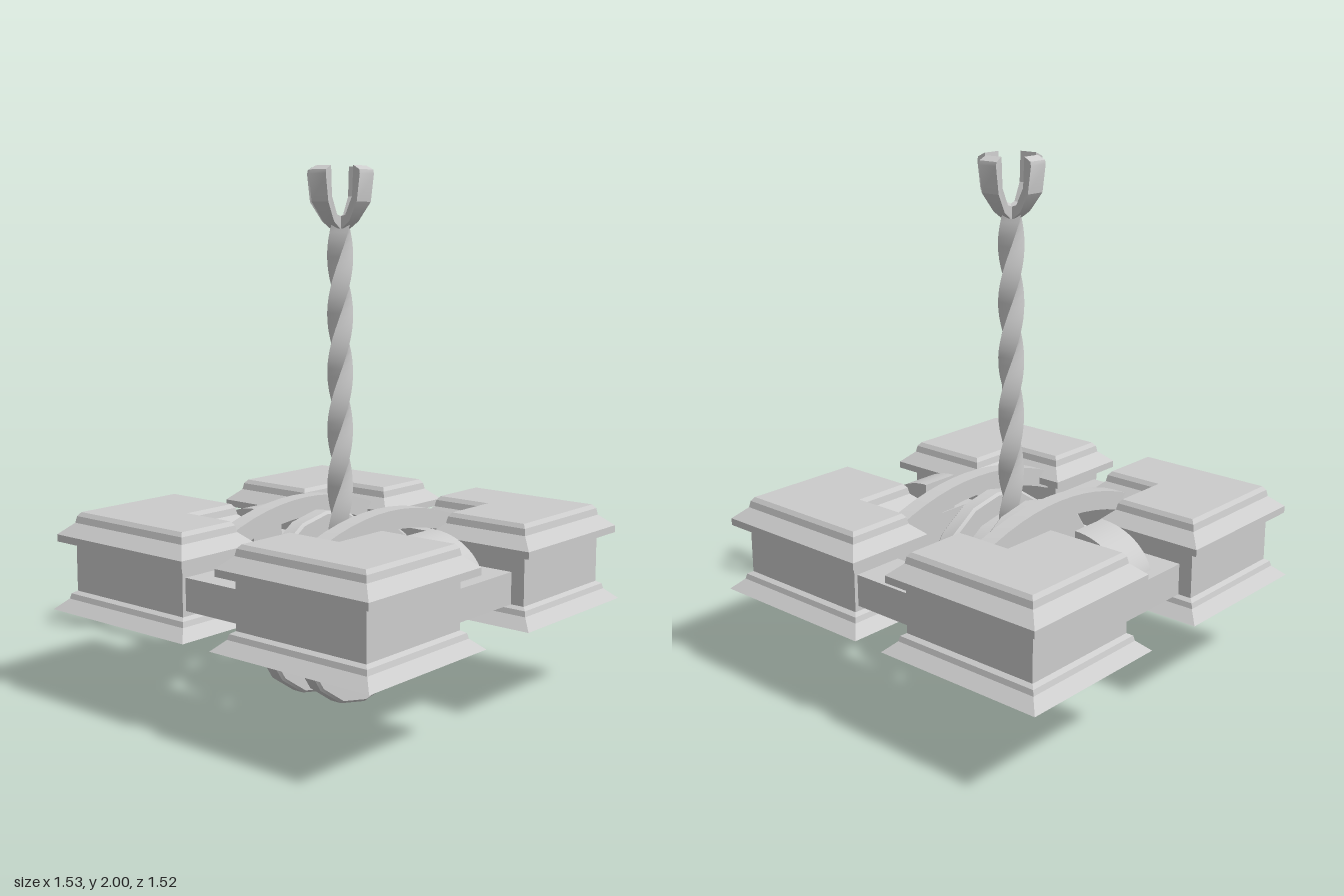
import * as THREE from 'three';
import { toCreasedNormals } from 'three/addons/utils/BufferGeometryUtils.js';

const material = new THREE.MeshStandardMaterial({ color: 0xcccccc });

function add(parent, name, geometry, x = 0, y = 0, z = 0) {
  const mesh = new THREE.Mesh(geometry, material);
  mesh.name = name;
  mesh.position.set(x, y, z);
  parent.add(mesh);
  return mesh;
}

// L-shaped block with moulded foot and cornice: one outline, inset by height
function blockGeometry(sx, sz) {
  // x, z, inset direction in x, inset direction in z
  const corners = [
    [0.29, 0.13, 1, 1], [0.765, 0.13, -1, 1], [0.765, 0.76, -1, -1],
    [0.065, 0.76, 1, -1], [0.065, 0.36, 1, 1], [0.29, 0.36, 1, 1],
  ];
  // height, inset
  const profile = [
    [0.36, 0], [0.4, 0.043], [0.42, 0.048], [0.43, 0.065], [0.62, 0.065],
    [0.62, 0.015], [0.647, 0.015], [0.69, 0.063], [0.715, 0.068], [0.73, 0.08],
  ];
  const rings = profile.map(([y, d]) =>
    corners.map(([x, z, dx, dz]) => [sx * (x + dx * d), y, sz * (z + dz * d)]));
  const positions = [];
  const tri = (a, b, c) => positions.push(...(sx * sz > 0 ? [a, b, c] : [a, c, b]).flat());
  for (let k = 0; k < rings.length - 1; k++) {
    for (let i = 0; i < corners.length; i++) {
      const j = (i + 1) % corners.length;
      const a = rings[k][i], b = rings[k][j], c = rings[k + 1][j], d = rings[k + 1][i];
      tri(a, d, c);
      tri(a, c, b);
    }
  }
  const outline = corners.map(([x, z]) => new THREE.Vector2(x, z));
  const top = rings[rings.length - 1];
  for (const [a, b, c] of THREE.ShapeUtils.triangulateShape(outline, [])) {
    tri(rings[0][a], rings[0][b], rings[0][c]);
    tri(top[a], top[c], top[b]);
  }
  const g = new THREE.BufferGeometry();
  g.setAttribute('position', new THREE.Float32BufferAttribute(positions, 3));
  g.computeVertexNormals();
  return g;
}

// Curved strap running front to back
function strapGeometry() {
  const R = 1.1, half = 0.43, n = 12, outer = [], inner = [];
  for (let i = 0; i <= n; i++) {
    const z = -half + (2 * half * i) / n;
    const y = 0.75 - R + Math.sqrt(R * R - z * z);
    outer.push(new THREE.Vector2(z, y));
    inner.unshift(new THREE.Vector2(z, y - 0.075));
  }
  const g = new THREE.ExtrudeGeometry(new THREE.Shape([...outer, ...inner]),
    { depth: 0.065, bevelEnabled: false });
  g.translate(0, 0, -0.0325).rotateY(-Math.PI / 2);
  return toCreasedNormals(g, 0.5);
}

// Quarter-round bearing cap, falling away towards +x
function capGeometry() {
  const s = new THREE.Shape();
  s.moveTo(0, 0);
  s.lineTo(0.23, 0);
  s.lineTo(0.23, 0.05);
  s.absellipse(0, 0.05, 0.23, 0.18, 0, Math.PI / 2, false);
  s.lineTo(0, 0);
  const g = new THREE.ExtrudeGeometry(s, { depth: 0.16, bevelEnabled: false, curveSegments: 8 });
  g.translate(0, 0, -0.08);
  return toCreasedNormals(g, 0.5);
}

// Square bar twisted about its length
function twistedShaftGeometry(bottom, top) {
  const height = top - bottom;
  const g = new THREE.BoxGeometry(0.068, height, 0.068, 1, 40, 1);
  g.translate(0, height / 2, 0);
  const p = g.attributes.position;
  const v = new THREE.Vector3(), up = new THREE.Vector3(0, 1, 0);
  for (let i = 0; i < p.count; i++) {
    v.fromBufferAttribute(p, i);
    v.applyAxisAngle(up, (v.y / 0.215) * Math.PI / 2);
    p.setXYZ(i, v.x, v.y, v.z);
  }
  return toCreasedNormals(g, 0.7);
}

// Claw prong, broad at the outer tip and narrow at the root
function prongGeometry() {
  const points = [
    [0, 1.77], [0.03, 1.775], [0.065, 1.8], [0.112, 1.87], [0.126, 1.97],
    [0.123, 1.985], [0.093, 2], [0.085, 1.89], [0.045, 1.825], [0, 1.81],
  ].map(([x, y]) => new THREE.Vector2(x, y));
  const g = new THREE.ExtrudeGeometry(new THREE.Shape(points), { depth: 0.08, bevelEnabled: false });
  g.translate(0, 0, -0.04);
  const p = g.attributes.position;
  for (let i = 0; i < p.count; i++) {
    const spread = THREE.MathUtils.smoothstep(p.getX(i), 0.05, 0.11);
    p.setZ(i, p.getZ(i) * (0.6 + 0.4 * spread));
  }
  return toCreasedNormals(g, 0.4);
}

export function createModel() {
  const model = new THREE.Group();
  model.name = 'winchStand';

  // Four corner blocks
  for (const sx of [-1, 1]) {
    for (const sz of [-1, 1]) {
      const name = (sz > 0 ? 'front' : 'back') + (sx > 0 ? 'Left' : 'Right') + 'Block';
      add(model, name, blockGeometry(sx, sz));
    }
  }

  // Bars joining the blocks
  for (const s of [-1, 1]) {
    add(model, s > 0 ? 'frontBar' : 'backBar', new THREE.BoxGeometry(0.3, 0.12, 0.2), 0, 0.51, s * 0.58);
    add(model, s > 0 ? 'leftBar' : 'rightBar', new THREE.BoxGeometry(0.275, 0.12, 0.42), s * 0.508, 0.49, 0);
  }

  // Bearing caps on the side bars and straps over the wheel
  for (const s of [-1, 1]) {
    const side = s > 0 ? 'left' : 'right';
    const cap = add(model, side + 'BearingCap', capGeometry(), s * 0.375, 0.46, 0);
    if (s < 0) cap.rotation.y = Math.PI;
    add(model, side + 'Strap', strapGeometry(), s * 0.2075, 0, 0);
  }

  // Grooved wheel on its axle
  const rim = 0.355, hub = 0.27;
  const wheelProfile = [
    [0, -0.13], [rim - 0.01, -0.13], [rim, -0.12], [rim, -0.07], [rim - 0.01, -0.06], [hub, -0.06],
    [hub, 0.06], [rim - 0.01, 0.06], [rim, 0.07], [rim, 0.12], [rim - 0.01, 0.13], [0, 0.13],
  ].map(([r, y]) => new THREE.Vector2(r, y));
  const wheel = toCreasedNormals(new THREE.LatheGeometry(wheelProfile, 16), 0.6);
  add(model, 'wheel', wheel, 0, 0.355, 0).rotation.z = Math.PI / 2;
  const axle = new THREE.CylinderGeometry(0.055, 0.055, 0.82, 16);
  add(model, 'axle', axle, 0, 0.36, 0).rotation.z = Math.PI / 2;

  // Twisted shaft with a four-pronged claw
  add(model, 'twistedShaft', twistedShaftGeometry(0.61, 1.79), 0, 0.61, 0);
  const claw = new THREE.Group();
  claw.name = 'claw';
  model.add(claw);
  for (let i = 0; i < 4; i++) add(claw, 'prong', prongGeometry()).rotation.y = i * Math.PI / 2;
  return model;
}
